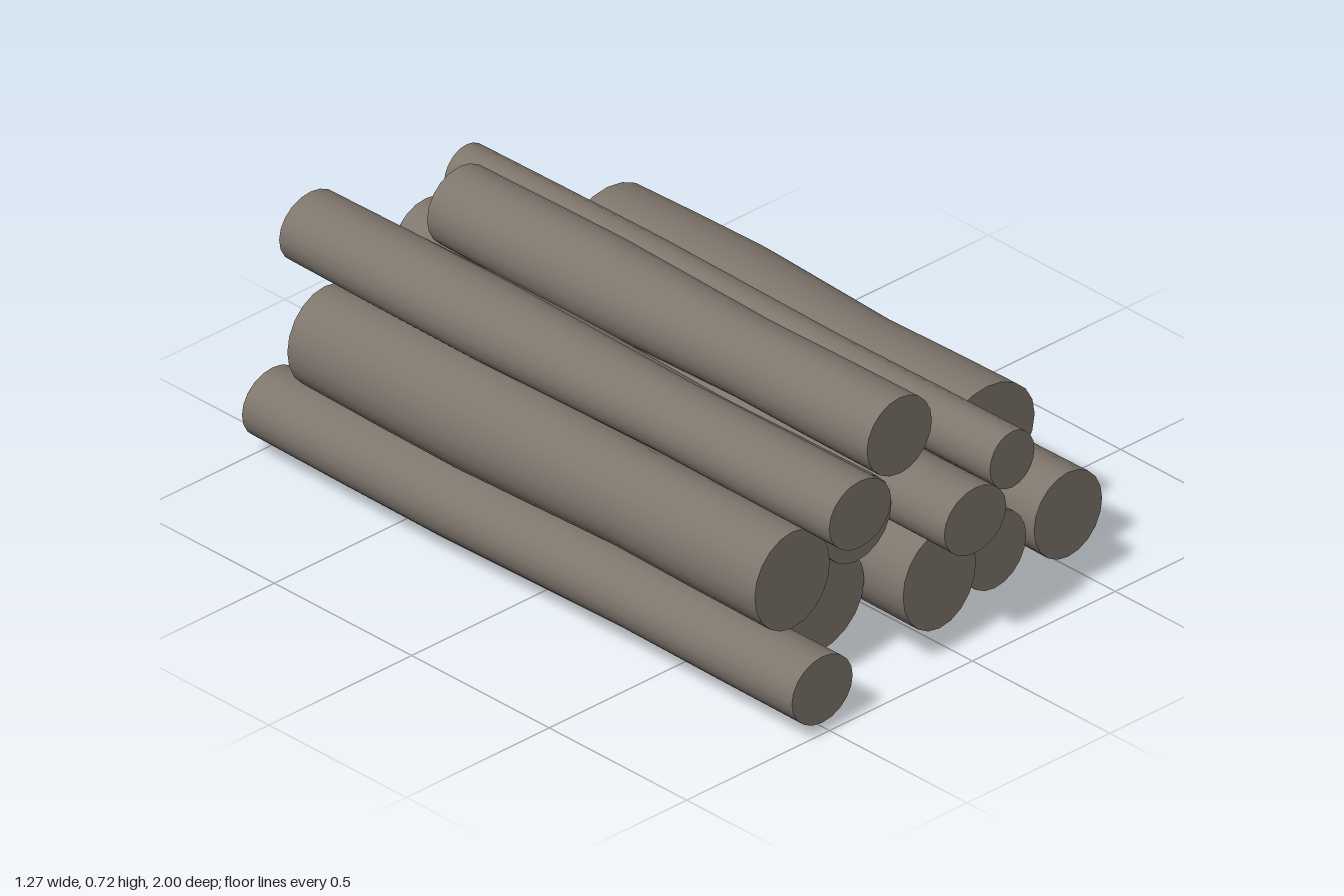
import * as THREE from 'three';

// left, right, bottom, top of each log's widest outline, then its two end depths
const LOGS = [
  // ground row
  [-0.638, -0.413, 0.028, 0.232, -1, 1],
  [-0.432, -0.09, 0.0, 0.315, -0.71, 0.71],
  [-0.106, 0.164, 0.012, 0.312, -0.85, 0.85],
  [0.153, 0.387, 0.012, 0.247, -0.8, 0.8],
  [0.382, 0.634, 0.015, 0.276, -0.82, 0.82],
  // middle row
  [-0.625, -0.347, 0.222, 0.52, -0.85, 0.85],
  [-0.36, -0.103, 0.303, 0.561, -0.82, 0.82],
  [-0.105, 0.125, 0.306, 0.508, -1, 1],
  [0.172, 0.526, 0.227, 0.538, -0.69, 0.69],
  // top row
  [-0.508, -0.278, 0.486, 0.692, -1, 1],
  [-0.183, 0.057, 0.483, 0.717, -0.8, 0.8],
  [0.071, 0.236, 0.434, 0.607, -1, 0.985],
];

// relative girth at even steps from the back end to the front end
const GIRTH = [0.945, 0.98, 1, 0.95, 0.9, 0.93, 0.945];

function makeLog([x0, x1, y0, y1, z0, z1], material) {
  const steps = GIRTH.length - 1;
  const geo = new THREE.CylinderGeometry(1, 1, 1, 20, steps);
  geo.rotateX(Math.PI / 2);
  // swell and narrow the trunk along its length
  const p = geo.attributes.position;
  for (let i = 0; i < p.count; i++) {
    const g = GIRTH[Math.round((p.getZ(i) + 0.5) * steps)];
    p.setXY(i, p.getX(i) * g, p.getY(i) * g);
  }
  geo.scale((x1 - x0) / 2, (y1 - y0) / 2, z1 - z0);
  const log = new THREE.Mesh(geo, material);
  log.position.set((x0 + x1) / 2, (y0 + y1) / 2, (z0 + z1) / 2);
  return log;
}

export function createModel() {
  const group = new THREE.Group();
  group.name = 'logPile';
  const wood = new THREE.MeshStandardMaterial({ color: 0x7f766d });
  wood.name = 'weathered wood';
  LOGS.forEach((spec, i) => {
    const log = makeLog(spec, wood);
    log.name = `log${i + 1}`;
    group.add(log);
  });
  return group;
}
